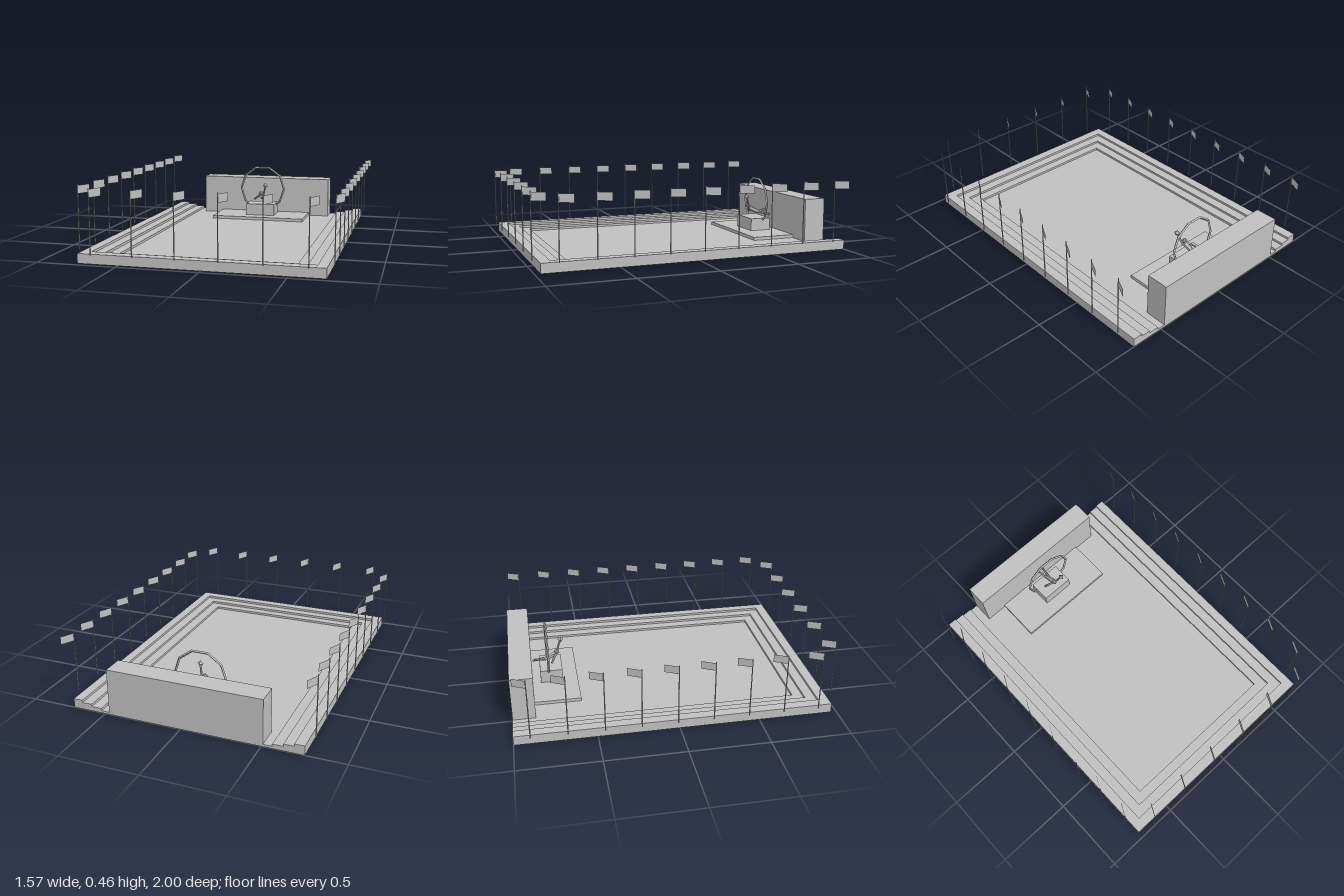
import * as THREE from 'three';

const grey = new THREE.MeshStandardMaterial({ color: 0xc0c0c0, side: THREE.DoubleSide, flatShading: true });
grey.name = 'stone grey';

function part(name, geometry, parent) {
  const mesh = new THREE.Mesh(geometry, grey);
  mesh.name = name;
  parent.add(mesh);
  return mesh;
}

// Box given by its limits on each axis
function block(name, [x0, x1], [y0, y1], [z0, z1], parent) {
  const mesh = part(name, new THREE.BoxGeometry(x1 - x0, y1 - y0, z1 - z0), parent);
  mesh.position.set((x0 + x1) / 2, (y0 + y1) / 2, (z0 + z1) / 2);
  return mesh;
}

// Tapered rod between two points
function limb(name, from, to, r0, r1, parent) {
  const a = new THREE.Vector3(...from), b = new THREE.Vector3(...to);
  const dir = b.clone().sub(a);
  const mesh = part(name, new THREE.CylinderGeometry(r1, r0, dir.length(), 6), parent);
  mesh.position.copy(a).add(b).multiplyScalar(0.5);
  mesh.quaternion.setFromUnitVectors(new THREE.Vector3(0, 1, 0), dir.normalize());
  return mesh;
}

// U-shaped terrace, open at the back
function terrace(name, inX0, inX1, inZ, y, height, parent) {
  const points = [[-0.755, -1], [-0.755, 0.965], [0.715, 0.965], [0.715, -1],
    [inX1, -1], [inX1, inZ], [inX0, inZ], [inX0, -1]];
  const shape = new THREE.Shape(points.map(([x, z]) => new THREE.Vector2(x, -z)));
  const geo = new THREE.ExtrudeGeometry(shape, { depth: height, bevelEnabled: false });
  geo.rotateX(-Math.PI / 2);
  part(name, geo, parent).position.y = y;
}

function flagpole(x, z, parent) {
  const group = new THREE.Group();
  group.name = 'flagpole';
  group.position.set(x, 0.06, z);
  limb('pole', [0, 0, 0], [0, 0.395, 0], 0.004, 0.003, group);
  // Flag plane runs from the pole towards the back and the side
  const dx = 0.04, dz = -0.08;
  const flag = part('flag', new THREE.PlaneGeometry(Math.hypot(dx, dz), 0.05), group);
  flag.position.set(dx / 2, 0.363, dz / 2);
  flag.rotation.y = Math.atan2(-dz, dx);
  parent.add(group);
}

export function createModel() {
  const model = new THREE.Group();
  model.name = 'arena';

  // Sunken floor with three steps around it
  block('floor', [-0.755, 0.715], [0, 0.015], [-1, 0.965], model);
  terrace('lowerStep', -0.565, 0.525, 0.775, 0.015, 0.015, model);
  terrace('middleStep', -0.63, 0.592, 0.837, 0.03, 0.015, model);
  terrace('upperStep', -0.693, 0.655, 0.9, 0.045, 0.015, model);

  // Back wall, stage and pedestal
  block('backWall', [-0.51, 0.472], [0.015, 0.298], [-1, -0.857], model);
  block('stage', [-0.365, 0.322], [0.015, 0.036], [-0.857, -0.562], model);
  block('pedestal', [-0.13, 0.087], [0.036, 0.12], [-0.805, -0.66], model);

  // Ten-sided hoop
  part('hoop', new THREE.TorusGeometry(0.167, 0.008, 4, 10), model).position.set(-0.02, 0.23, -0.75);

  // Figure leaping through the hoop
  const figure = new THREE.Group();
  figure.name = 'figure';
  model.add(figure);
  limb('torso', [-0.02, 0.15, -0.77], [-0.018, 0.185, -0.695], 0.013, 0.018, figure);
  const head = part('head', new THREE.IcosahedronGeometry(0.018, 0), figure);
  head.position.set(-0.02, 0.2, -0.685);
  limb('raisedArm', [-0.002, 0.18, -0.69], [0.02, 0.255, -0.66], 0.007, 0.006, figure);
  limb('loweredArm', [-0.03, 0.185, -0.695], [-0.08, 0.148, -0.725], 0.008, 0.006, figure);
  const ball = part('ball', new THREE.OctahedronGeometry(0.02, 0), figure);
  ball.position.set(0.022, 0.265, -0.655);
  limb('leftLeg', [-0.012, 0.152, -0.765], [0.004, 0.132, -0.848], 0.009, 0.007, figure);
  limb('rightLeg', [-0.026, 0.15, -0.765], [-0.042, 0.165, -0.835], 0.009, 0.007, figure);

  // Flagpoles along both sides and the front
  for (let i = 0; i < 9; i++) {
    const z = 0.865 - i * 0.2205;
    flagpole(-0.786, z, model);
    flagpole(0.745, z, model);
  }
  for (let i = 0; i < 6; i++) flagpole(-0.657 + i * 0.2555, 0.994, model);

  return model;
}
